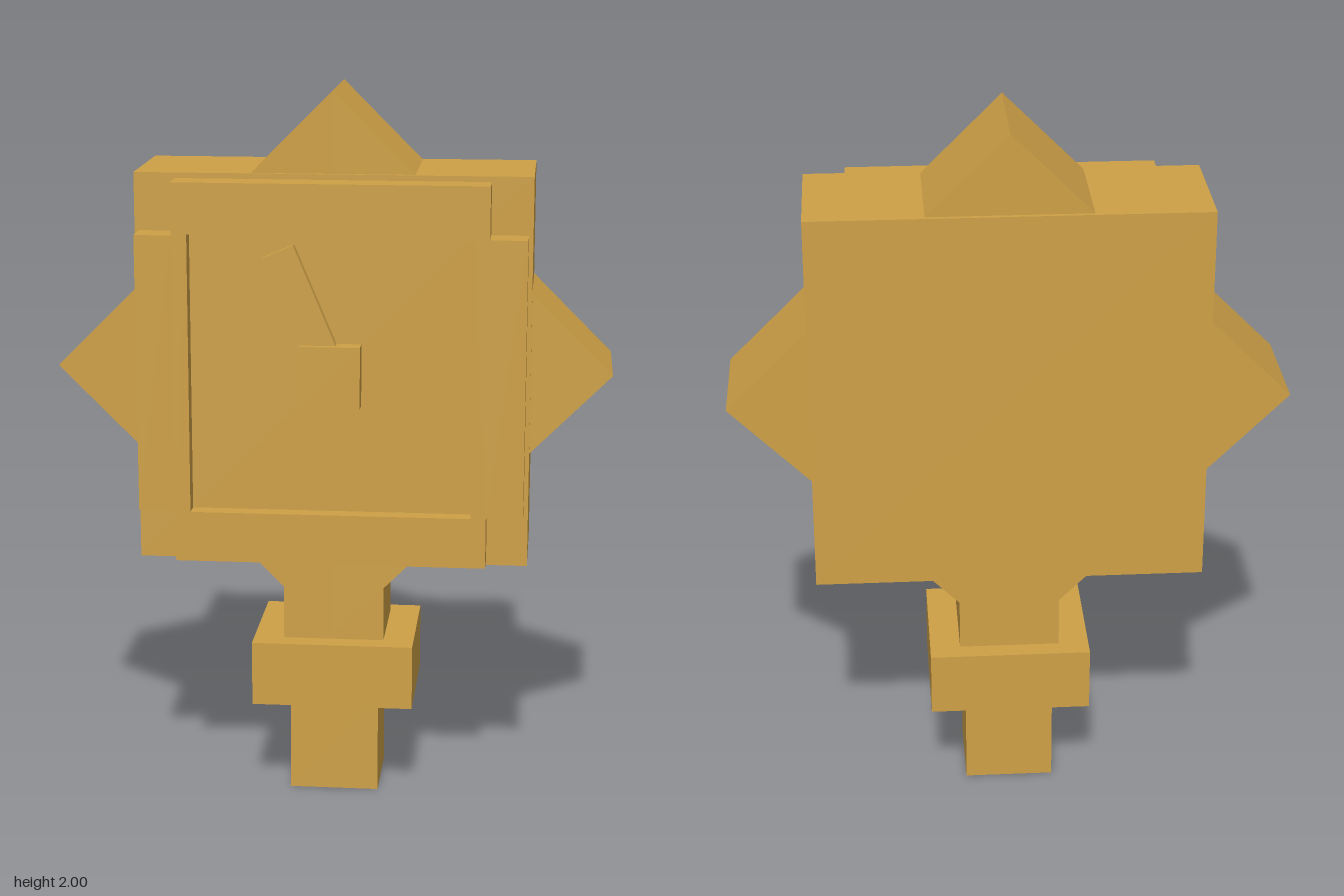
import * as THREE from 'three';

export function createModel() {
  const model = new THREE.Group();
  model.name = 'wallClock';
  const brass = new THREE.MeshStandardMaterial({ color: 0xcfa147 });
  brass.name = 'brass';
  const centreY = 1.24;

  function add(name, geometry) {
    const mesh = new THREE.Mesh(geometry, brass);
    mesh.name = name;
    model.add(mesh);
    return mesh;
  }
  // Box given by its lower and upper limits on each axis
  function box(name, [x0, x1], [y0, y1], [z0, z1]) {
    add(name, new THREE.BoxGeometry(x1 - x0, y1 - y0, z1 - z0))
      .position.set((x0 + x1) / 2, (y0 + y1) / 2, (z0 + z1) / 2);
  }
  // Flat outline extruded between two depths
  function plate(name, shape, z0, z1) {
    add(name, new THREE.ExtrudeGeometry(shape, { depth: z1 - z0, bevelEnabled: false }))
      .position.z = z0;
  }
  const outline = (points) => new THREE.Shape(points.map(([x, y]) => new THREE.Vector2(x, y)));

  // Square case with a diamond block running through it
  box('case', [-0.54, 0.54], [0.7, 1.78], [-0.212, 0.14]);
  const r = 0.762;
  plate('diamondBlock', outline([
    [0, centreY - r], [r, centreY], [0, centreY + r], [-r, centreY],
  ]), -0.2, 0.128);

  // Bezel with stepped corners and a square opening
  const wide = 0.528, narrow = 0.427, tall = 0.525, low = 0.382;
  const bezel = outline([
    [-narrow, -tall], [narrow, -tall], [narrow, -low], [wide, -low],
    [wide, low], [narrow, low], [narrow, tall], [-narrow, tall],
    [-narrow, low], [-wide, low], [-wide, -low], [-narrow, -low],
  ].map(([x, y]) => [x, y + centreY]));
  const o = 0.385;
  bezel.holes.push(new THREE.Path([
    [-o, -o], [-o, o], [o, o], [o, -o],
  ].map(([x, y]) => new THREE.Vector2(x, y + centreY))));
  plate('bezel', bezel, 0.135, 0.225);

  // Recessed dial, hub and hand
  box('dial', [-0.39, 0.39], [0.85, 1.63], [0.135, 0.178]);
  box('hub', [-0.084, 0.082], [1.155, 1.325], [0.17, 0.227]);
  plate('hand', outline([
    [-0.047, 1.235], [0.04, 1.265], [-0.1, 1.597], [-0.185, 1.56],
  ]), 0.17, 0.208);

  // Stand: neck, collar and foot
  box('neck', [-0.142, 0.14], [0.44, 0.66], [-0.172, 0.1]);
  box('collar', [-0.227, 0.225], [0.275, 0.457], [-0.226, 0.158]);
  box('foot', [-0.126, 0.124], [0, 0.285], [-0.155, 0.085]);

  return model;
}
